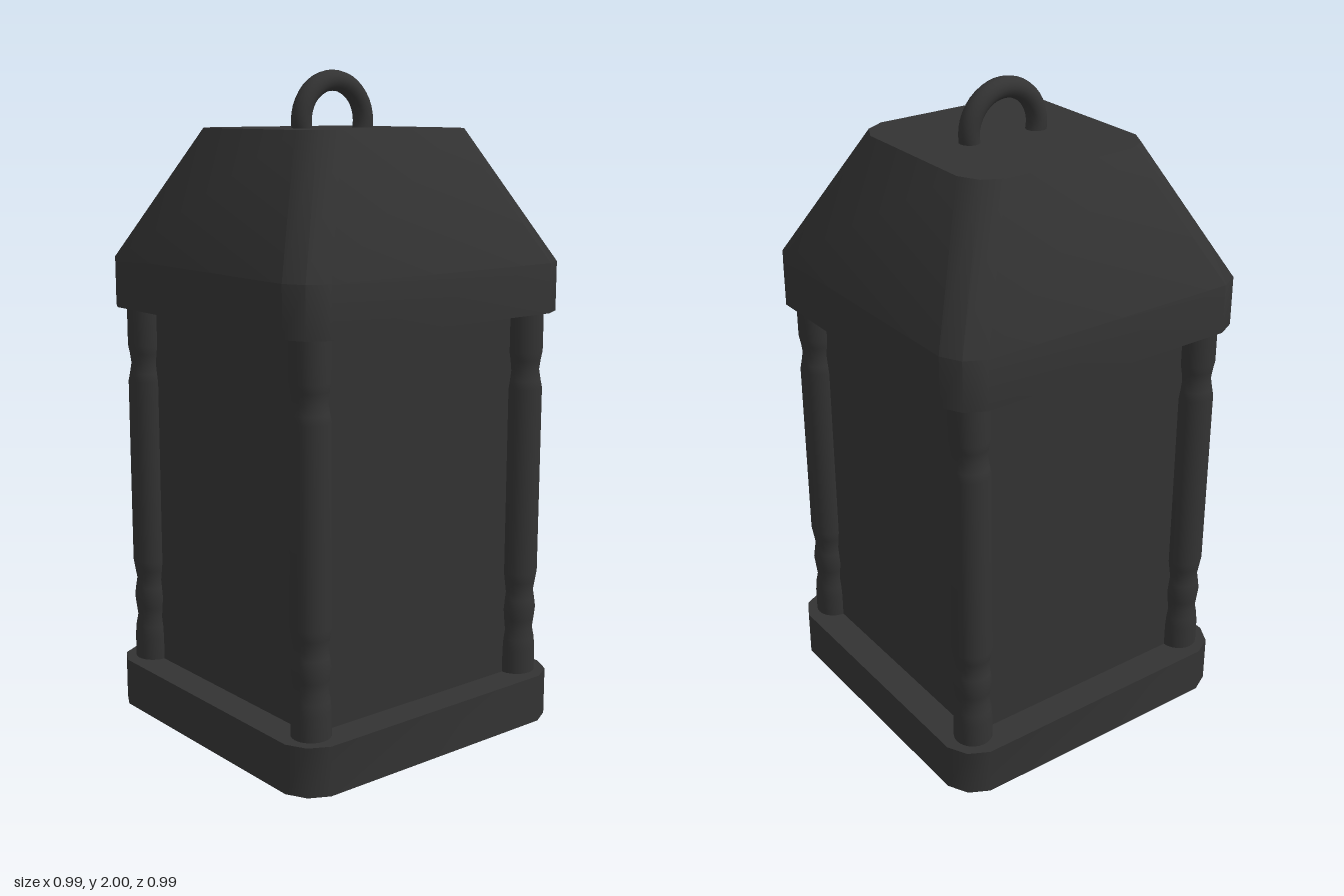
import * as THREE from 'three';
import { toCreasedNormals } from 'three/addons/utils/BufferGeometryUtils.js';

const material = new THREE.MeshStandardMaterial({ color: 0x333333 });

// Square outline of half width h with rounded (two-facet) corners
function outline(h) {
  const corner = [[h, h - 0.09], [h - 0.031, h - 0.031], [h - 0.09, h]];
  const points = [];
  for (let q = 0; q < 4; q++) {
    for (const [x, z] of corner) {
      points.push([[x, z], [-z, x], [-x, -z], [z, -x]][q]);
    }
  }
  return points;
}

// Closed solid through outlines given as [half width, height], bottom to top
function loft(levels) {
  const positions = [], index = [], n = 12;
  for (const [h, y] of levels) {
    for (const [x, z] of outline(h)) positions.push(x, y, z);
  }
  const last = (levels.length - 1) * n;
  const bottom = levels.length * n, top = bottom + 1;
  positions.push(0, levels[0][1], 0, 0, levels[levels.length - 1][1], 0);
  for (let i = 0; i < n; i++) {
    const j = (i + 1) % n;
    for (let k = 0; k < last; k += n) {
      index.push(k + i, k + n + i, k + j, k + j, k + n + i, k + n + j);
    }
    index.push(bottom, i, j, top, last + j, last + i);
  }
  const geometry = new THREE.BufferGeometry();
  geometry.setAttribute('position', new THREE.Float32BufferAttribute(positions, 3));
  geometry.setIndex(index);
  return toCreasedNormals(geometry, 0.7);
}

export function createModel() {
  const model = new THREE.Group();
  model.name = 'lantern';
  const add = (name, geometry, x = 0, y = 0, z = 0) => {
    const mesh = new THREE.Mesh(geometry, material);
    mesh.name = name;
    mesh.position.set(x, y, z);
    model.add(mesh);
    return mesh;
  };

  // Base with bevelled underside, and sloping roof with a straight rim
  add('base', loft([[0.385, 0], [0.495, 0.055], [0.495, 0.2]]));
  add('roof', loft([[0.495, 1.31], [0.495, 1.455], [0.3, 1.835]]));

  // Panes form a closed square body
  add('panes', new THREE.BoxGeometry(0.8, 1.13, 0.8), 0, 0.755, 0);

  // Turned corner posts
  const profile = [
    [0.057, 0.19], [0.057, 0.27], [0.054, 0.305], [0.048, 0.335], [0.052, 0.365],
    [0.056, 0.4], [0.052, 0.43], [0.048, 0.455], [0.053, 0.485], [0.058, 0.515],
    [0.058, 1.08], [0.053, 1.105], [0.048, 1.135], [0.052, 1.165], [0.057, 1.19], [0.057, 1.32],
  ].map(([r, y]) => new THREE.Vector2(r, y));
  const post = new THREE.LatheGeometry(profile, 24);
  for (const x of [-0.4, 0.4]) {
    for (const z of [-0.4, 0.4]) {
      add(`${z > 0 ? 'front' : 'back'}${x > 0 ? 'Left' : 'Right'}Post`, post, x, 0, z);
    }
  }

  // Hanging ring, its lower half sunk in the roof
  const ring = add('hangingRing', new THREE.TorusGeometry(0.115, 0.03, 16, 40), 0, 1.855, 0);
  ring.rotation.y = Math.PI / 2;

  return model;
}
